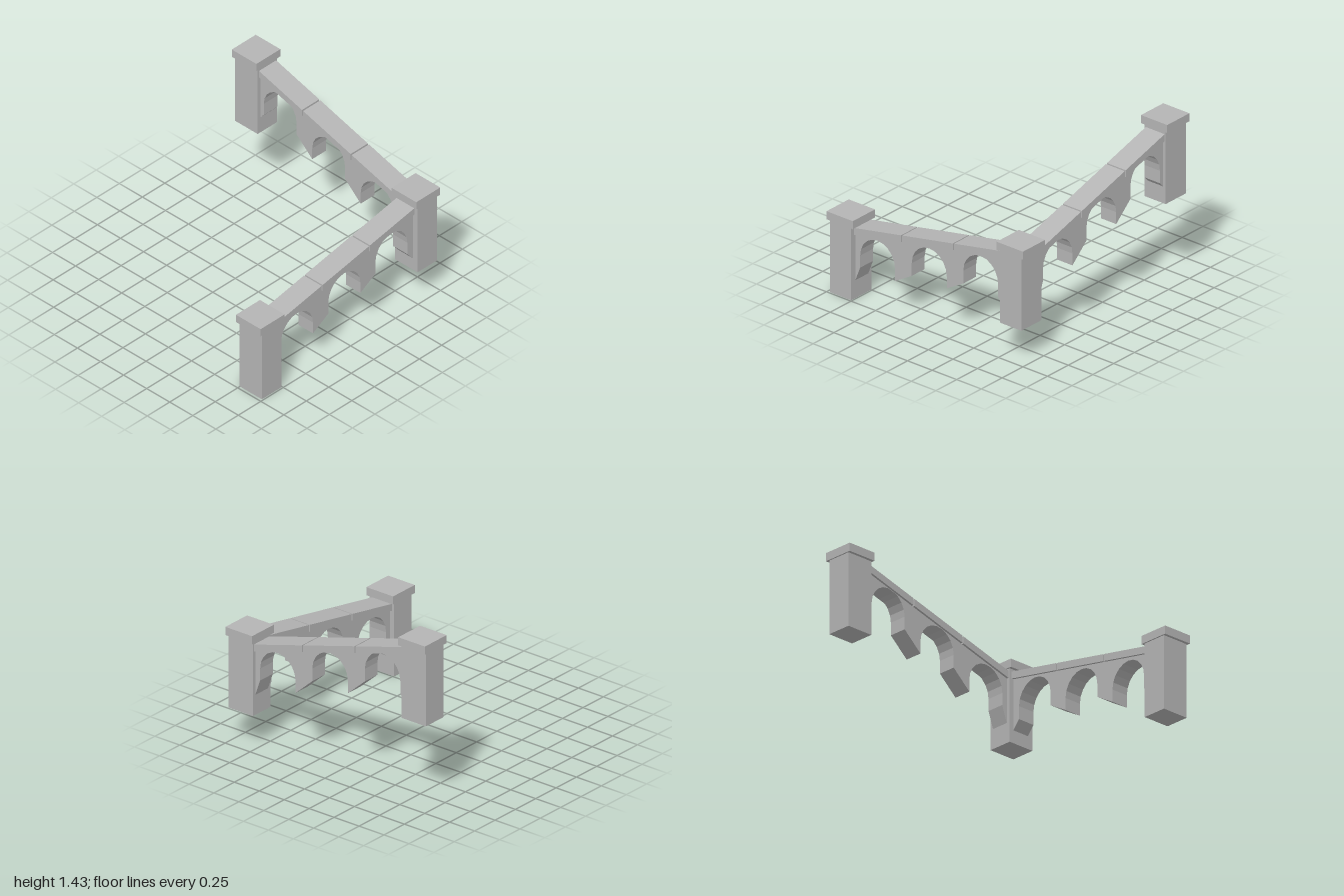
import * as THREE from 'three';

const stone = new THREE.MeshStandardMaterial({ color: 0xb4b4b4 });
stone.name = 'grey stone';

function addMesh(parent, geometry, name) {
  const mesh = new THREE.Mesh(geometry, stone);
  mesh.name = name;
  parent.add(mesh);
  return mesh;
}

// Outline in the (run, height) plane, extruded evenly about the wall's centre line
function slab(points, width) {
  const shape = new THREE.Shape(points.map(([s, y]) => new THREE.Vector2(s, y)));
  const geometry = new THREE.ExtrudeGeometry(shape, { depth: width, bevelEnabled: false });
  return geometry.translate(0, 0, -width / 2);
}

// Square-capped pillar standing at height y
function pillar(x, y, z, name) {
  const group = new THREE.Group();
  group.name = name;
  addMesh(group, new THREE.BoxGeometry(0.245, 0.63, 0.216), 'pillarShaft').position.y = 0.315;
  addMesh(group, new THREE.BoxGeometry(0.267, 0.07, 0.267), 'pillarCap').position.y = 0.665;
  group.position.set(x, y, z);
  return group;
}

// Sloping wall: hanging piers between three arches, topped with three coping stones
function archedWall({ name, start, end, top0, top1, crowns, feet }) {
  const group = new THREE.Group();
  group.name = name;
  const topAt = (s) => top0 + ((top1 - top0) * (s - start)) / (end - start);
  const thick = 0.06;

  const arches = [[-0.71, -0.355], [-0.185, 0.172], [0.34, 0.694]];
  const outline = [[start, feet[0]]];
  arches.forEach(([a, b], i) => {
    const rise = 0.187, spring = crowns[i] - rise;
    const mid = (a + b) / 2, radius = (b - a) / 2;
    outline.push([a, feet[1 + i * 2]]);
    for (let k = 0; k <= 10; k++) {
      const t = Math.PI * (1 - k / 10);
      outline.push([mid + radius * Math.cos(t), spring + rise * Math.sin(t)]);
    }
    outline.push([b, feet[2 + i * 2]]);
  });
  outline.push([end, feet[7]], [end, topAt(end) - thick], [start, topAt(start) - thick]);
  addMesh(group, slab(outline, 0.155), 'archWall');

  // Coping stones separated by narrow joints
  for (const [a, b] of [[start, -0.278], [-0.266, 0.249], [0.261, end]]) {
    const stonePoints = [
      [a, topAt(a) - thick], [b, topAt(b) - thick], [b, topAt(b)], [a, topAt(a)],
    ];
    addMesh(group, slab(stonePoints, 0.192), 'copingStone');
  }
  return group;
}

export function createModel() {
  const model = new THREE.Group();
  model.name = 'steppedArchWall';

  model.add(
    pillar(-0.867, 0.735, -0.865, 'highPillar'),
    pillar(0.865, 0.3, -0.865, 'cornerPillar'),
    pillar(0.865, 0, 0.867, 'lowPillar'),
  );

  // Back wall, descending towards the corner
  const backWall = archedWall({
    name: 'backWall', start: -0.745, end: 0.743, top0: 1.34, top1: 0.912,
    crowns: [1.215, 1.058, 0.9],
    feet: [0.88, 0.92, 0.92, 0.767, 0.762, 0.61, 0.61, 0.47],
  });
  backWall.position.z = -0.867;

  // Side wall, climbing from the low pillar to the corner
  const sideWall = archedWall({
    name: 'sideWall', start: -0.759, end: 0.757, top0: 0.617, top1: 0.908,
    crowns: [0.572, 0.677, 0.783],
    feet: [0.155, 0.28, 0.28, 0.38, 0.388, 0.485, 0.485, 0.41],
  });
  sideWall.rotation.y = Math.PI / 2;
  sideWall.position.x = 0.86;

  model.add(backWall, sideWall);
  return model;
}
